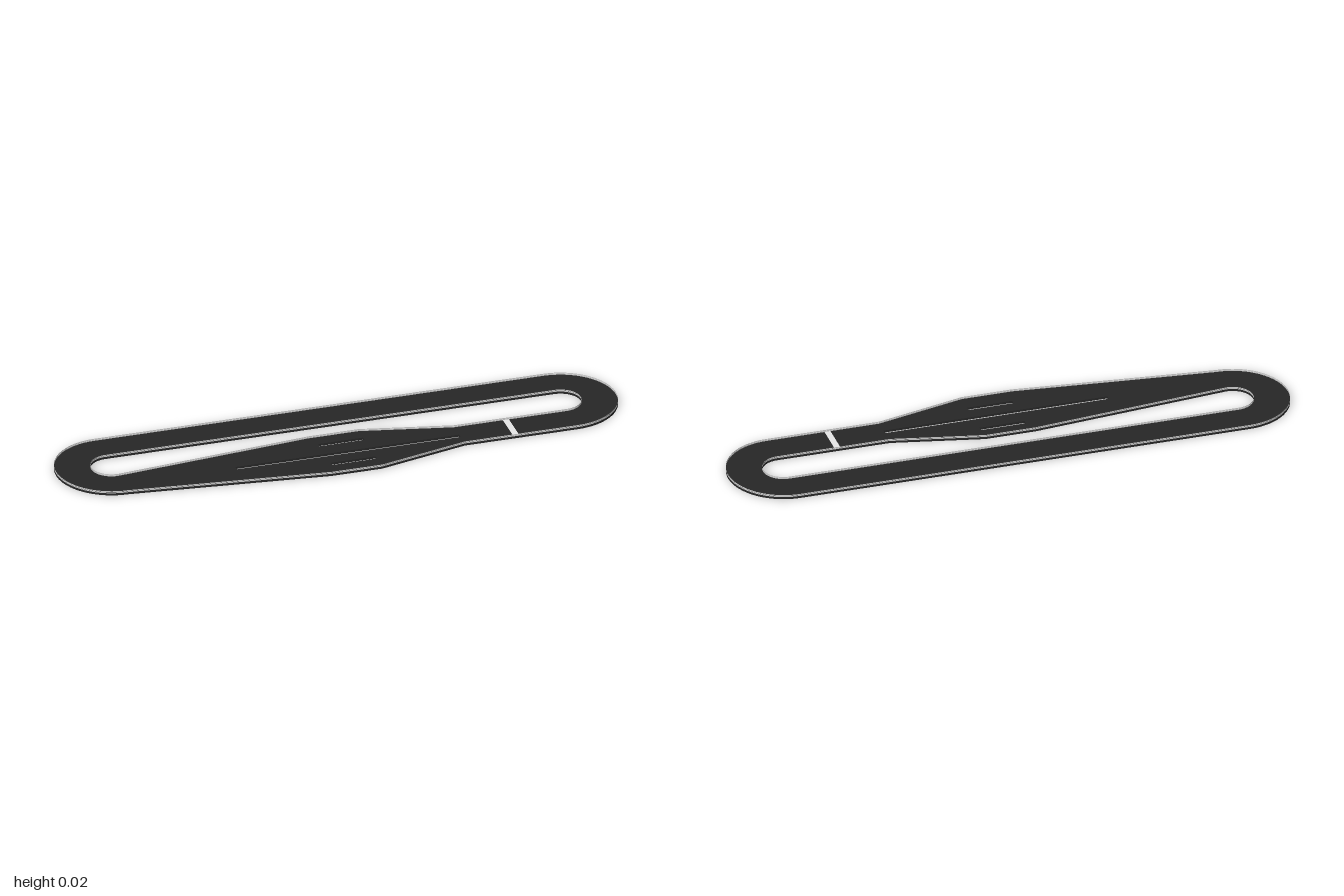
import * as THREE from 'three';

const BASE = 0.008, TOP = 0.016; // road surface and barrier top
const END_X = 0.803, MID_Z = -0.04;

// Closed loop: two round ends joined by a straight back and a shaped front edge (x, z)
function loop(radius, frontEdge) {
  const pts = [], steps = 32;
  for (const side of [-1, 1]) {
    for (let i = 0; i <= steps; i++) {
      const a = Math.PI / 2 + (Math.PI * i) / steps + (side > 0 ? Math.PI : 0);
      pts.push(new THREE.Vector2(side * END_X + radius * Math.cos(a), MID_Z + radius * Math.sin(a)));
    }
  }
  frontEdge.forEach(([x, z]) => pts.push(new THREE.Vector2(x, z)));
  return pts;
}

// Rectangular slot as a closed path
function slot(x, z, w, d) {
  return [[-1, -1], [1, -1], [1, 1], [-1, 1]].map(([i, j]) => new THREE.Vector2(x + i * w / 2, z + j * d / 2));
}

// Thin upright strip following a closed loop between two heights
function strip(pts, y0, y1) {
  const pos = [];
  pts.forEach((p, i) => {
    const q = pts[(i + 1) % pts.length];
    pos.push(p.x, y0, p.y, p.x, y1, p.y, q.x, y1, q.y);
    pos.push(p.x, y0, p.y, q.x, y1, q.y, q.x, y0, q.y);
  });
  const g = new THREE.BufferGeometry();
  g.setAttribute('position', new THREE.Float32BufferAttribute(pos, 3));
  g.computeVertexNormals();
  return g;
}

export function createModel() {
  const group = new THREE.Group();
  const asphalt = new THREE.MeshStandardMaterial({ color: 0x272727 });
  asphalt.name = 'asphalt';
  const railGrey = new THREE.MeshStandardMaterial({ color: 0xcccccc, side: THREE.DoubleSide });
  railGrey.name = 'railGrey';
  const white = new THREE.MeshStandardMaterial({ color: 0xffffff });
  white.name = 'white';
  const add = (name, geometry, material) => {
    const mesh = new THREE.Mesh(geometry, material);
    mesh.name = name;
    group.add(mesh);
    return mesh;
  };

  // Road slab with infield opening and narrow lane divider slots
  const outer = loop(0.197, [[0.4, 0.157], [0.08, 0.235], [-0.1, 0.235]]);
  const inner = loop(0.073, [[0.4, 0.033], [0.08, -0.037], [-0.1, -0.037]]);
  const shape = new THREE.Shape(outer);
  const slots = [slot(0, 0.098, 0.8, 0.018), slot(0, 0.021, 0.16, 0.017), slot(0, 0.165, 0.16, 0.017)];
  [inner, ...slots].forEach((pts) => shape.holes.push(new THREE.Path(pts)));
  const road = new THREE.ExtrudeGeometry(shape, { depth: BASE, bevelEnabled: false });
  road.rotateX(Math.PI / 2).translate(0, BASE, 0);
  add('road', road, asphalt);

  // Barriers along both edges, each a lower and an upper rail with a fine gap
  const gapLow = 0.0118, gapHigh = 0.0124;
  for (const [name, pts] of [['outer', outer], ['inner', inner]]) {
    add(name + 'LowerRail', strip(pts, BASE, gapLow), railGrey);
    add(name + 'UpperRail', strip(pts, gapHigh, TOP), railGrey);
  }

  // Start line across the road
  const line = add('startLine', new THREE.BoxGeometry(0.021, 0.001, 0.123), white);
  line.position.set(0.585, BASE + 0.0005, 0.095);
  return group;
}
